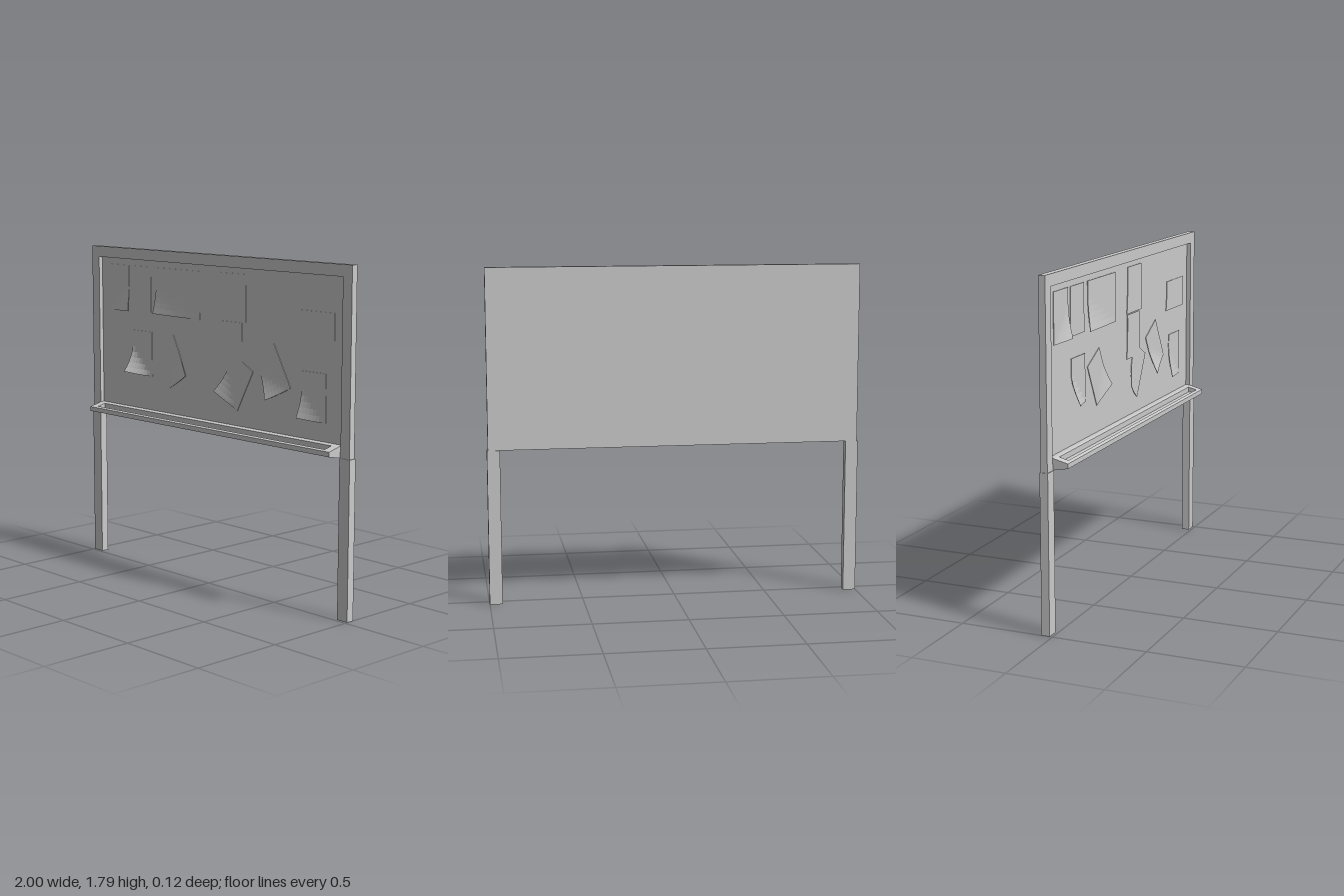
import * as THREE from 'three';

const mat = new THREE.MeshStandardMaterial({ color: 0xcccccc, flatShading: true });
const PANEL_Z = -0.042; // front of the recessed board
const BACK_Z = -0.054;

function add(parent, name, geometry, x = 0, y = 0, z = 0) {
  const mesh = new THREE.Mesh(geometry, mat);
  mesh.name = name;
  mesh.position.set(x, y, z);
  parent.add(mesh);
  return mesh;
}

// Closed outline from [x, y] pairs
const outline = (pts) => new THREE.Shape(pts.map(([x, y]) => new THREE.Vector2(x, y)));

// Profile given as [z, y], extruded along x and centred at cx
function extrudeAlongX(pts, length, cx) {
  const g = new THREE.ExtrudeGeometry(outline(pts.map(([z, y]) => [-z, y])), { depth: length, bevelEnabled: false });
  return g.rotateY(Math.PI / 2).translate(cx - length / 2, 0, 0);
}

// Thin sheet whose lower corner (side -1 or 1) peels away from the board
function sheet(w, h, side, lift) {
  const g = new THREE.BoxGeometry(w, h, 0.003, 8, 8, 1);
  const p = g.attributes.position;
  for (let i = 0; i < p.count; i++) {
    const u = 0.5 - side * p.getX(i) / w;
    const v = 0.5 + p.getY(i) / h;
    const t = Math.max(0, 1 - u - 1.5 * v);
    p.setZ(i, p.getZ(i) + lift * Math.pow(t, 1.5));
    p.setX(i, p.getX(i) + side * 0.012 * t * t);
    p.setY(i, p.getY(i) + 0.3 * lift * t * t);
  }
  g.computeVertexNormals();
  return g;
}

export function createModel() {
  const model = new THREE.Group();
  model.name = 'noticeBoard';

  // Legs
  for (const s of [-1, 1]) {
    add(model, s < 0 ? 'rightLeg' : 'leftLeg', new THREE.BoxGeometry(0.068, 0.83, 0.044), s * 0.966, 0.415, -0.036);
  }

  // Frame with a rectangular opening
  const rim = outline([[-0.995, 0.83], [0.995, 0.83], [0.995, 1.787], [-0.995, 1.787]]);
  rim.holes.push(outline([[-0.935, 0.86], [-0.935, 1.727], [0.935, 1.727], [0.935, 0.86]]));
  add(model, 'frame', new THREE.ExtrudeGeometry(rim, { depth: 0.036, bevelEnabled: false }), 0, 0, BACK_Z);

  // Recessed board, flush with the back of the frame
  add(model, 'board', new THREE.BoxGeometry(1.87, 0.867, PANEL_Z - BACK_Z), 0, 1.2935, (PANEL_Z + BACK_Z) / 2);

  // Pinned sheets: x, y, width, height, turn in degrees, curled side, lift
  const sheets = [
    [-0.78, 1.56, 0.165, 0.26, 0, 1, 0.02],
    [-0.29, 1.56, 0.35, 0.26, 0, -1, 0.02],
    [-0.59, 1.565, 0.16, 0.25, 0, -1, 0],
    [0.145, 1.57, 0.19, 0.25, 0, -1, 0],
    [0.74, 1.46, 0.25, 0.165, 0, -1, 0],
    [0.13, 1.32, 0.165, 0.24, 0, -1, 0],
    [-0.585, 1.205, 0.165, 0.25, 0, -1, 0.057],
    [-0.343, 1.18, 0.165, 0.25, 27, 1, 0.02],
    [0.165, 1.12, 0.165, 0.25, -28, -1, 0.03],
    [0.435, 1.205, 0.165, 0.25, 29, -1, 0.028],
    [0.73, 1.11, 0.165, 0.25, 0, -1, 0.03],
  ];
  const papers = new THREE.Group();
  papers.name = 'papers';
  sheets.forEach(([x, y, w, h, turn, side, lift]) => {
    const m = add(papers, 'paper', sheet(w, h, side, lift), x, y, PANEL_Z + 0.002);
    m.rotation.z = THREE.MathUtils.degToRad(turn);
  });
  model.add(papers);

  // Tray: troughed middle with solid ends
  const tray = new THREE.Group();
  tray.name = 'tray';
  const solid = [[-0.042, 0.83], [-0.018, 0.83], [0.062, 0.845], [0.062, 0.87], [-0.018, 0.89], [-0.042, 0.89]];
  const trough = [[-0.042, 0.83], [-0.018, 0.83], [0.062, 0.845], [0.062, 0.87], [0.043, 0.875],
    [0.043, 0.858], [-0.006, 0.858], [-0.006, 0.887], [-0.018, 0.89], [-0.042, 0.89]];
  add(tray, 'trough', extrudeAlongX(trough, 1.77, 0));
  for (const s of [-1, 1]) add(tray, 'trayEnd', extrudeAlongX(solid, 0.047, s * 0.9085));
  model.add(tray);

  return model;
}
